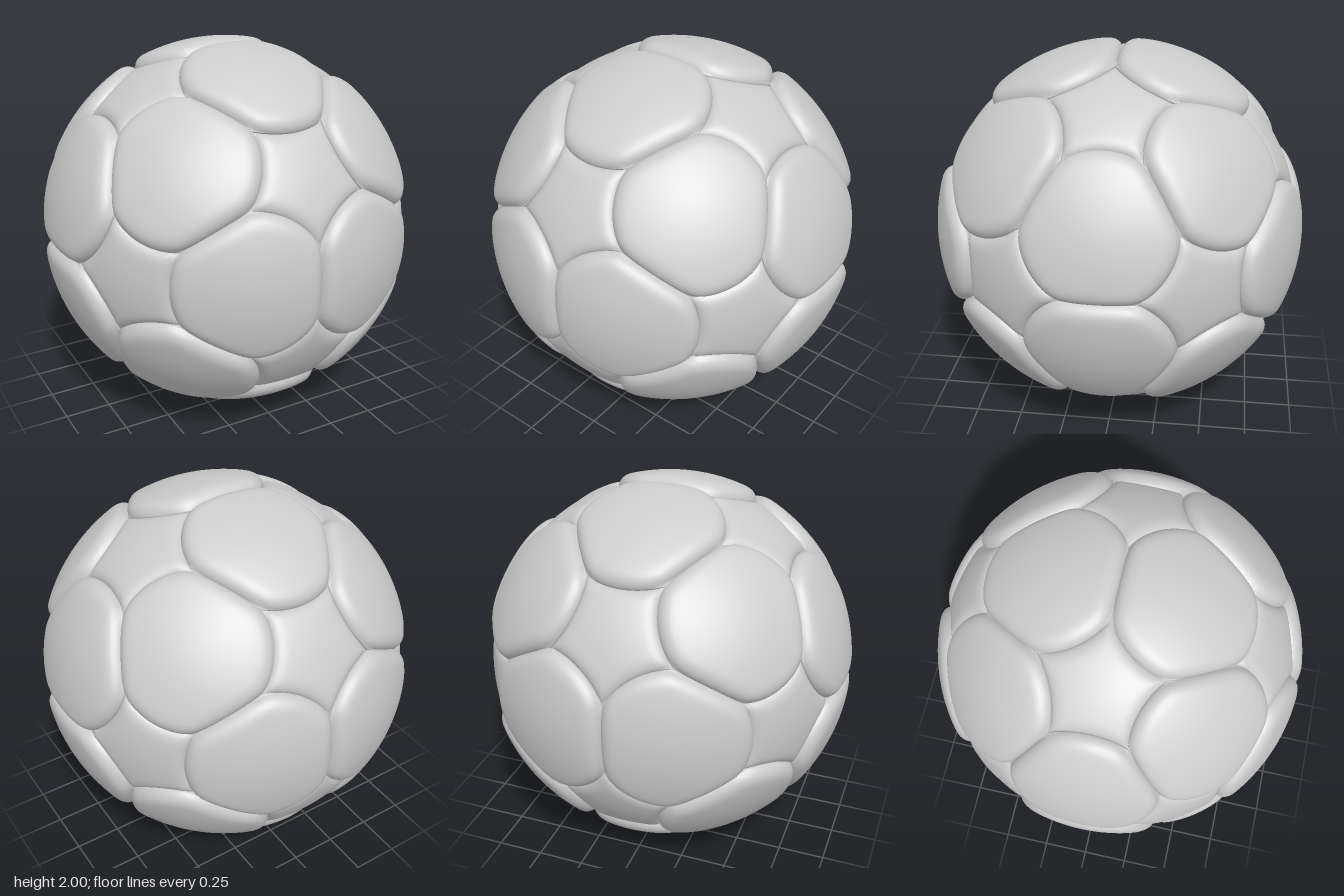
import * as THREE from 'three';

const PHI = (1 + Math.sqrt(5)) / 2;
const RIM = THREE.MathUtils.degToRad(23.7); // angular radius of a round panel
const AZIMUTHS = 120;
const RINGS = 16;

// Cyclic permutations of (a, b, 0) with every sign, as unit vectors
function cyclic(a, b) {
  const out = [];
  for (const s of [1, -1]) for (const t of [1, -1]) {
    const x = a * s, y = b * t;
    out.push([x, y, 0], [0, x, y], [y, 0, x]);
  }
  return out.map((v) => new THREE.Vector3(...v).normalize());
}

// Puffed patch of the sphere around an axis; margin(p) lists the angular
// distances from direction p to each border of the patch
function patchGeometry(axis, toward, margin, { top, base, skirt, bevel }) {
  const u = toward.clone().addScaledVector(axis, -toward.dot(axis)).normalize();
  const v = axis.clone().cross(u);
  const dirAt = (theta, phi) => axis.clone().multiplyScalar(Math.cos(theta))
    .addScaledVector(u, Math.sin(theta) * Math.cos(phi))
    .addScaledVector(v, Math.sin(theta) * Math.sin(phi));

  // Rounded edge: full height inside, falling to the base at the border
  const radius = (p) => {
    let sum = 0;
    for (const d of margin(p)) sum += Math.max(0, 1 - d / bevel) ** 6;
    const k = Math.min(1, sum ** (1 / 6));
    return base + (top - base) * (1 - k ** 2.5) ** 0.7;
  };

  // Border angle in each direction, by bisection
  const pos = [], index = [], edges = [];
  for (let j = 0; j < AZIMUTHS; j++) {
    const phi = (j / AZIMUTHS) * Math.PI * 2;
    let lo = 0, hi = 0.6;
    for (let i = 0; i < 30; i++) {
      const mid = (lo + hi) / 2;
      if (Math.min(...margin(dirAt(mid, phi))) > 0) lo = mid; else hi = mid;
    }
    edges.push(lo);
  }
  const addRing = (f, fixed) => {
    for (let j = 0; j < AZIMUTHS; j++) {
      const p = dirAt(edges[j] * f, (j / AZIMUTHS) * Math.PI * 2);
      pos.push(...p.multiplyScalar(fixed ?? radius(p)).toArray());
    }
  };
  const join = (a, b) => {
    for (let j = 0; j < AZIMUTHS; j++) {
      const k = (j + 1) % AZIMUTHS;
      index.push(a + j, b + j, b + k, a + j, b + k, a + k);
    }
  };

  pos.push(...axis.clone().multiplyScalar(top).toArray());
  for (let i = 1; i <= RINGS; i++) addRing(1 - (1 - i / RINGS) ** 1.8);
  for (let j = 0; j < AZIMUTHS; j++) index.push(0, 1 + j, 1 + ((j + 1) % AZIMUTHS));
  for (let i = 0; i < RINGS - 1; i++) join(1 + i * AZIMUTHS, 1 + (i + 1) * AZIMUTHS);

  // Short wall below the border, with its own vertices for a sharp edge
  const wall = 1 + RINGS * AZIMUTHS;
  addRing(1, base);
  addRing(1, skirt);
  join(wall, wall + AZIMUTHS);

  const geo = new THREE.BufferGeometry();
  geo.setAttribute('position', new THREE.Float32BufferAttribute(pos, 3));
  geo.setIndex(index);
  geo.computeVertexNormals();
  return geo;
}

export function createModel() {
  const ball = new THREE.Group();
  ball.name = 'ball';
  const grey = new THREE.MeshStandardMaterial({ color: 0xcccccc });
  grey.name = 'light grey';

  const roundAxes = cyclic(PHI, 1 / PHI);
  for (const x of [1, -1]) for (const y of [1, -1]) for (const z of [1, -1]) {
    roundAxes.push(new THREE.Vector3(x, y, z).normalize());
  }
  const starAxes = cyclic(1, PHI);
  const nearest = (axis, n) => roundAxes.filter((a) => a !== axis)
    .sort((a, b) => b.dot(axis) - a.dot(axis)).slice(0, n);

  const add = (name, geometry) => {
    const mesh = new THREE.Mesh(geometry, grey);
    mesh.name = name;
    mesh.position.y = 1;
    ball.add(mesh);
  };

  // Twenty raised round panels, cut straight where they meet their neighbours
  roundAxes.forEach((axis, i) => {
    const near = nearest(axis, 3);
    const cuts = near.map((n) => axis.clone().sub(n).normalize());
    const margin = (p) => [RIM - p.angleTo(axis), ...cuts.map((c) => Math.asin(p.dot(c)))];
    add(`roundPanel${i + 1}`, patchGeometry(axis, near[0], margin,
      { top: 1.003, base: 0.953, skirt: 0.92, bevel: 0.09 }));
  });

  // Twelve lower five-pointed panels filling the gaps
  starAxes.forEach((axis, i) => {
    const near = nearest(axis, 5);
    const margin = (p) => near.map((n) => p.angleTo(n) - RIM);
    add(`starPanel${i + 1}`, patchGeometry(axis, near[0], margin,
      { top: 0.97, base: 0.943, skirt: 0.92, bevel: 0.08 }));
  });

  // Core closing the seams
  add('core', new THREE.SphereGeometry(0.93, 48, 32));
  return ball;
}
